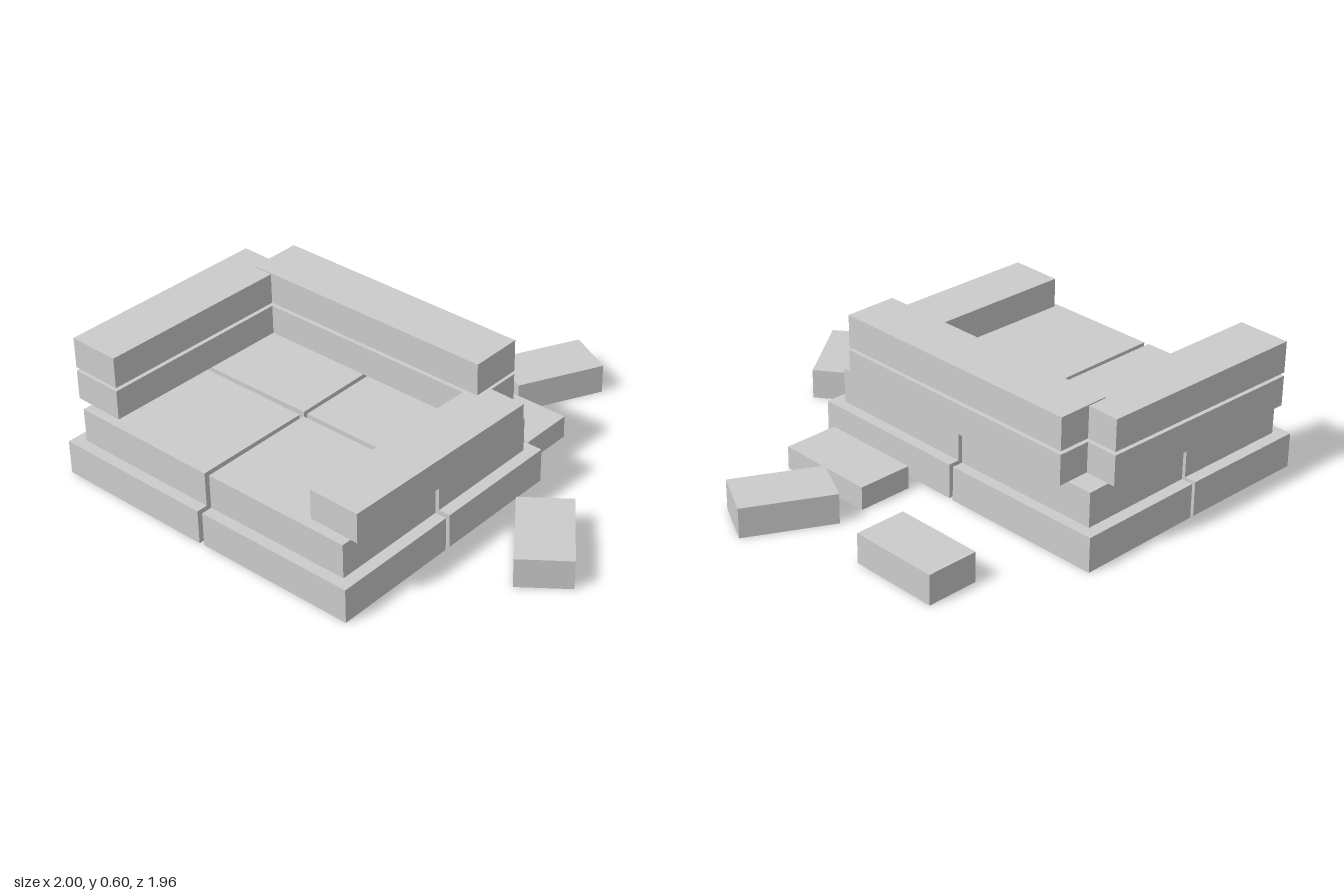
import * as THREE from 'three';

export function createModel() {
  const model = new THREE.Group();
  const stone = new THREE.MeshStandardMaterial({ color: 0xcccccc });
  stone.name = 'pale stone';

  // One block: size, bottom height, centre on the ground plane, yaw
  function block(name, [w, h, d], y, x, z, yaw = 0) {
    const mesh = new THREE.Mesh(new THREE.BoxGeometry(w, h, d), stone);
    mesh.name = name;
    mesh.position.set(x, y + h / 2, z);
    mesh.rotation.y = yaw;
    model.add(mesh);
  }

  // Two stepped tiers of four slabs, with narrow joints and slight misalignment
  const tiers = [
    { name: 'lowerSlab', y: 0, w: 0.725, d: 0.572 },
    { name: 'upperSlab', y: 0.15, w: 0.673, d: 0.523 },
  ];
  for (const { name, y, w, d } of tiers) {
    for (const sx of [-1, 1]) {
      for (const sz of [-1, 1]) {
        const yaw = sx < 0 ? (sz > 0 ? -0.007 : 0.006) : 0;
        block(name, [w, 0.15, d], y, -0.255 + sx * (0.01 + w / 2), 0.388 + sz * (0.011 + d / 2), yaw);
      }
    }
  }

  // Back wall and side walls; the left side has lost its top beam
  const arm = [0.23, 0.13, 0.945];
  block('backBeamLower', [1.17, 0.13, 0.232], 0.31, -0.255, -0.085);
  block('backBeamUpper', [1.17, 0.14, 0.232], 0.455, -0.255, -0.085);
  block('rightBeamLower', arm, 0.31, -0.875, 0.415, -0.021);
  block('rightBeamUpper', [0.23, 0.135, 0.945], 0.455, -0.875, 0.415, -0.021);
  block('leftBeam', arm, 0.31, 0.365, 0.415, -0.021);

  // Fallen blocks on the ground
  const rubble = [0.393, 0.13, 0.229];
  block('fallenBlock', rubble, 0, -0.553, -0.655);
  block('fallenBlock', rubble, 0, 0.095, -0.755, 1.1);
  block('fallenBlock', rubble, 0, 0.79, 0.188, -0.93);
  block('fallenSlab', [0.445, 0.1, 0.243], 0, 0.143, -0.382);

  return model;
}
